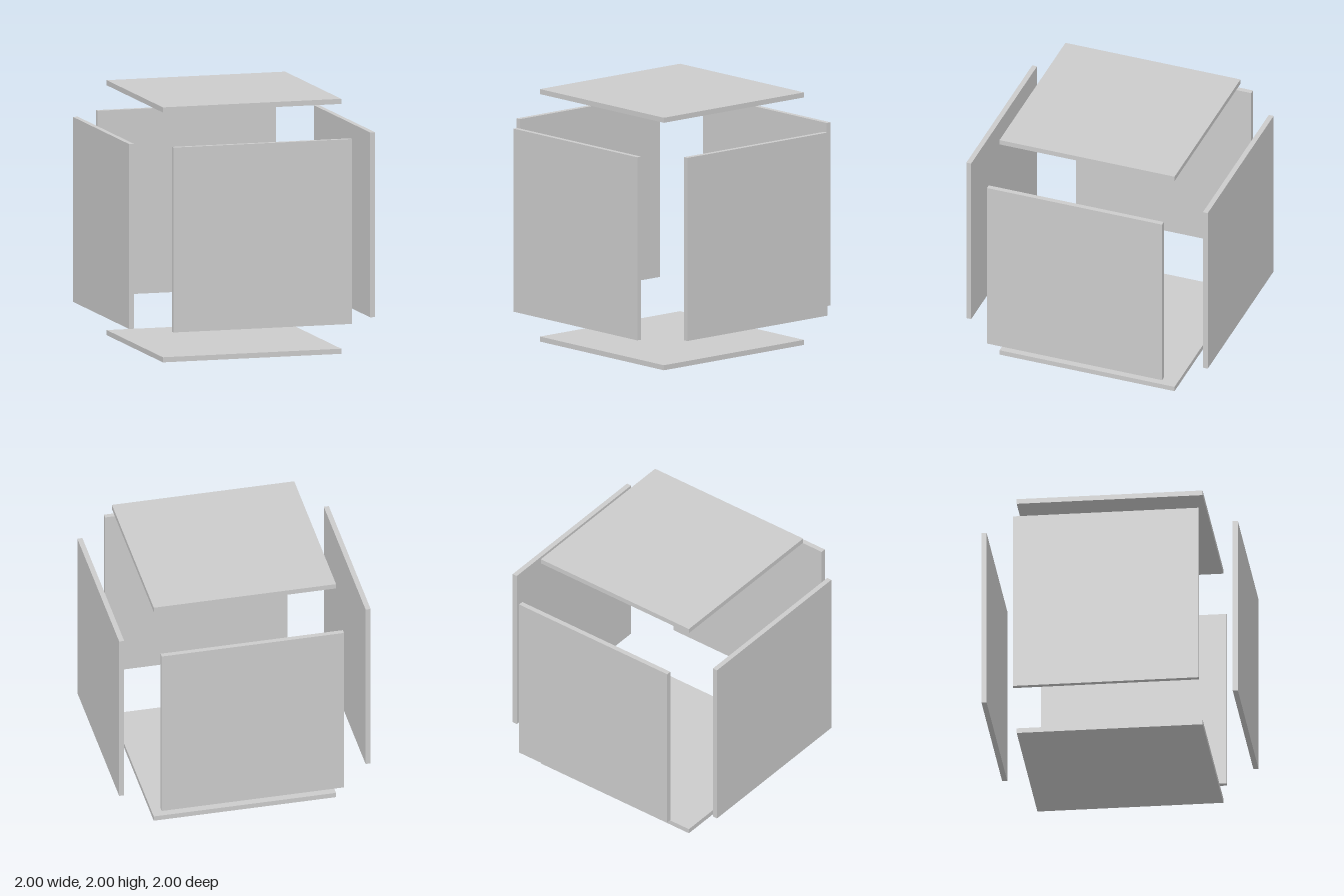
import * as THREE from 'three';

const SIZE = 1.45;      // edge length of each square panel
const THICKNESS = 0.04;
const OFFSET = 1 - THICKNESS / 2; // panel centre from the cube centre

export function createModel() {
  const model = new THREE.Group();
  model.name = 'explodedCube';
  const material = new THREE.MeshStandardMaterial({ color: 0xcccccc, flatShading: true });

  // One thin square panel per cube face, pushed outwards along its axis
  const panels = [
    ['leftPanel', 'x', 1], ['rightPanel', 'x', -1],
    ['topPanel', 'y', 1], ['bottomPanel', 'y', -1],
    ['frontPanel', 'z', 1], ['backPanel', 'z', -1],
  ];
  for (const [name, axis, sign] of panels) {
    const size = new THREE.Vector3(SIZE, SIZE, SIZE);
    size[axis] = THICKNESS;
    const panel = new THREE.Mesh(new THREE.BoxGeometry(size.x, size.y, size.z), material);
    panel.name = name;
    panel.position.set(0, 1, 0);
    panel.position[axis] += sign * OFFSET;
    model.add(panel);
  }
  return model;
}
